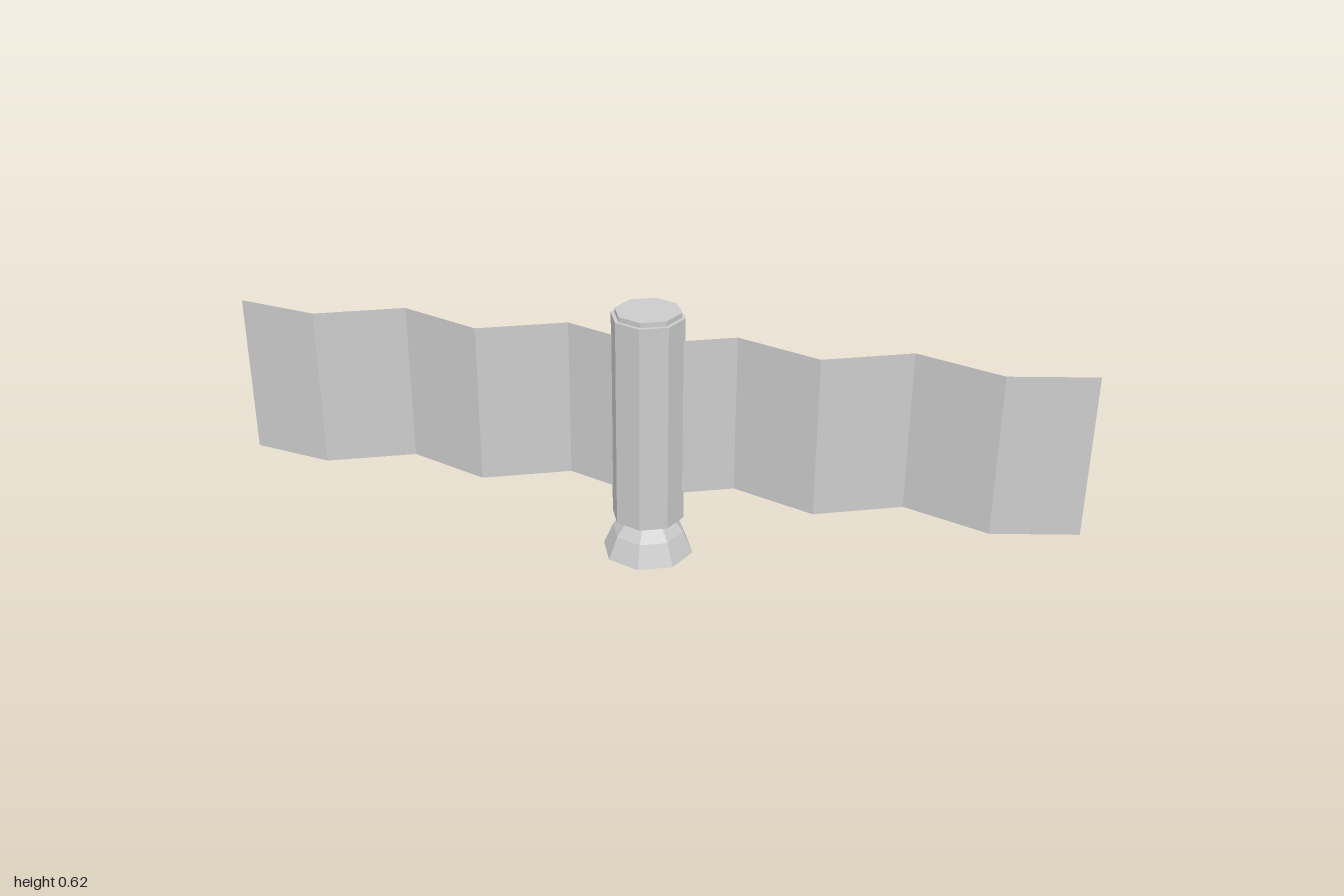
import * as THREE from 'three';

const SIDES = 8;

export function createModel() {
  const group = new THREE.Group();
  const solid = new THREE.MeshStandardMaterial({ color: 0xcccccc, flatShading: true });
  const sheet = new THREE.MeshStandardMaterial({ color: 0xcccccc, flatShading: true, side: THREE.DoubleSide });

  const add = (name, geometry, material) => {
    const mesh = new THREE.Mesh(geometry, material);
    mesh.name = name;
    group.add(mesh);
    return mesh;
  };

  // Octagonal prism between two heights
  const prism = (name, radius, y0, y1) => {
    add(name, new THREE.CylinderGeometry(radius, radius, y1 - y0, SIDES), solid)
      .position.y = (y0 + y1) / 2;
  };
  prism('body', 0.087, 0.095, 0.608);
  prism('topCap', 0.078, 0.608, 0.62);

  // Flared engine nozzle, closed at the bottom
  const profile = [[0, 0], [0.11, 0], [0.087, 0.055], [0.067, 0.081], [0.055, 0.095]];
  add('nozzle', new THREE.LatheGeometry(profile.map(([r, y]) => new THREE.Vector2(r, y)), SIDES), solid);

  // Folded solar panels: a zigzag sheet on each side, ending at mid-depth
  const FOLDS = 5, PITCH = 0.2, DEPTH = 0.041, BOTTOM = 0.165, TOP = 0.555;
  for (const side of [-1, 1]) {
    const panel = new THREE.PlaneGeometry(FOLDS * PITCH, TOP - BOTTOM, FOLDS, 1);
    panel.translate(side * FOLDS * PITCH / 2, (TOP + BOTTOM) / 2, 0);
    const pos = panel.attributes.position;
    for (let i = 0; i < pos.count; i++) {
      const fold = Math.round(Math.abs(pos.getX(i)) / PITCH);
      pos.setZ(i, fold === FOLDS ? 0 : fold % 2 ? -DEPTH : DEPTH);
    }
    panel.computeVertexNormals();
    add(side > 0 ? 'leftSolarPanel' : 'rightSolarPanel', panel, sheet);
  }

  return group;
}
